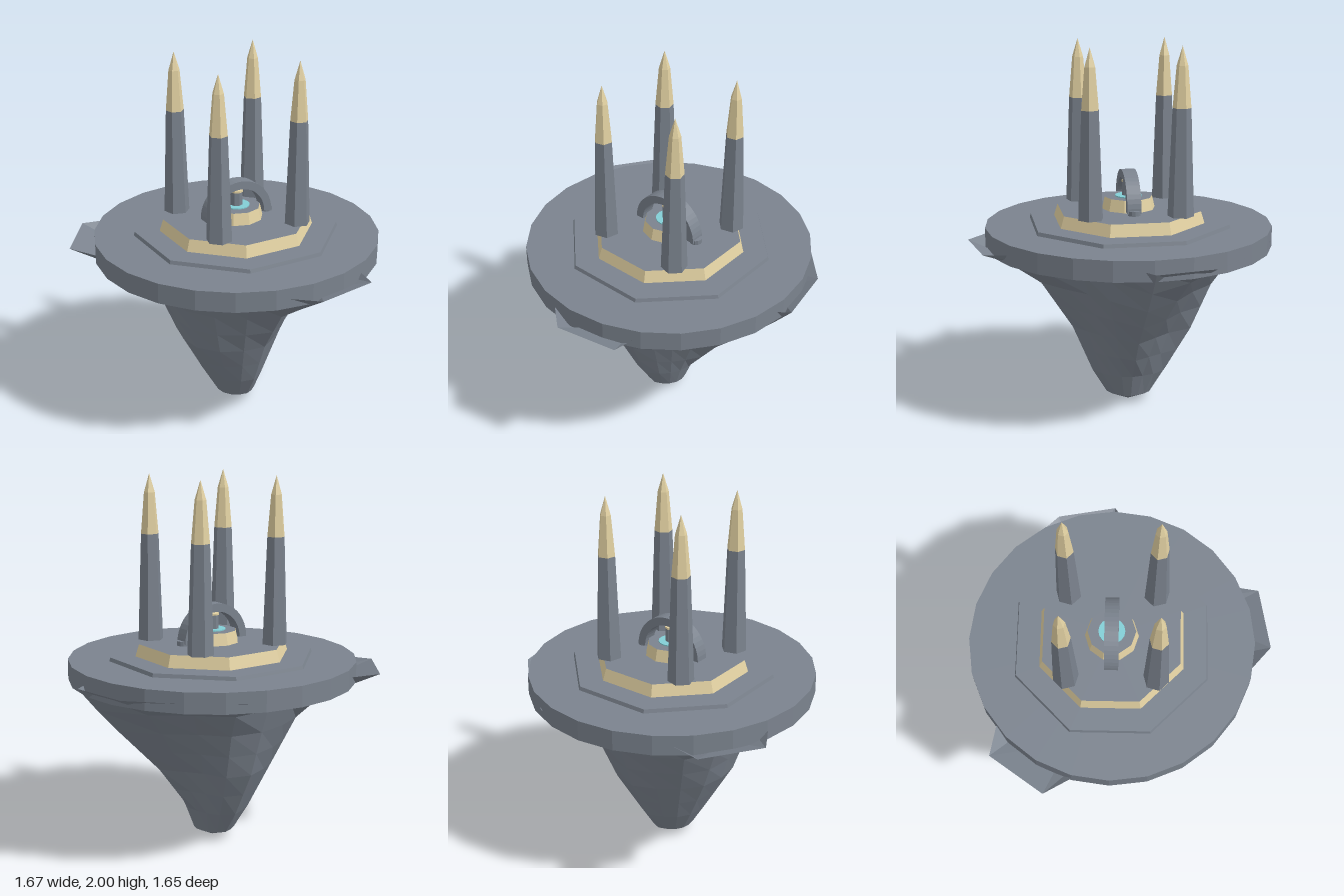
import * as THREE from 'three';

const slate = new THREE.MeshStandardMaterial({ color: 0x7b838e, side: THREE.DoubleSide });
slate.name = 'slate';
const gold = new THREE.MeshStandardMaterial({ color: 0xe2d1a2 });
gold.name = 'pale gold';
const teal = new THREE.MeshStandardMaterial({ color: 0x82ced6 });
teal.name = 'teal';

// Faceted normals without touching the material
function facet(geometry) {
  const g = geometry.index ? geometry.toNonIndexed() : geometry;
  g.computeVertexNormals();
  return g;
}

function add(parent, name, geometry, material) {
  const mesh = new THREE.Mesh(facet(geometry), material);
  mesh.name = name;
  parent.add(mesh);
  return mesh;
}

// Tapered prism standing between two heights
function prism(parent, name, rTop, rBottom, y0, y1, sides, material, turn = 0) {
  const g = new THREE.CylinderGeometry(rTop, rBottom, y1 - y0, sides);
  g.rotateY(turn);
  g.translate(0, (y0 + y1) / 2, 0);
  return add(parent, name, g, material);
}

// Craggy open-topped rock: 16 columns from +x towards +z, with three ridges that flare at the rim
function rockGeometry() {
  const rim = [.83, .58, .56, .875, .87, .695, .66, .64, .64, .91, .905, .615, .64, .78, .775, .834];
  const shoulder = [.72, .47, .42, .54, .67, .53, .50, .50, .49, .57, .60, .49, .50, .55, .52, .60];
  const waist = [.60, .42, .36, .39, .48, .45, .44, .44, .42, .45, .46, .44, .45, .46, .42, .48];
  const belly = [.345, .27, .25, .26, .31, .32, .34, .35, .34, .34, .33, .33, .36, .35, .27, .28];
  const foot = [.15, .15, .155, .17, .20, .20, .20, .20, .195, .20, .20, .20, .22, .20, .17, .15];
  const between = (a, b) => a.map((r, i) => (r + b[i]) / 2);
  const rings = [rim, shoulder, waist, between(waist, belly), belly, between(belly, foot), foot,
    foot.map((r) => .04 + .41 * r)];
  const n = rim.length, points = [], index = [];
  rings.forEach((ring, row) => ring.forEach((r, i) => {
    const a = (i / n) * Math.PI * 2;
    points.push(r * Math.cos(a), .96 - row * .13, r * Math.sin(a));
  }));
  const tip = rings.length * n, last = tip - n;
  points.push(0, 0, 0);
  for (let i = 0; i < n; i++) {
    const k = (i + 1) % n;
    for (let start = 0; start < last; start += n) {
      const a = start + i, b = start + k;
      index.push(a, b, a + n, b, b + n, a + n);
    }
    index.push(tip, last + i, last + k);
  }
  const g = new THREE.BufferGeometry();
  g.setAttribute('position', new THREE.Float32BufferAttribute(points, 3));
  g.setIndex(index);
  return g;
}

// Flat-banded half ring standing on its two ends
function archGeometry(outer, inner, depth) {
  const shape = new THREE.Shape();
  shape.absarc(0, 0, outer, 0, Math.PI, false);
  shape.absarc(0, 0, inner, Math.PI, 0, true);
  shape.closePath();
  const g = new THREE.ExtrudeGeometry(shape, { depth, bevelEnabled: false, curveSegments: 12 });
  g.translate(0, 0, -depth / 2);
  return g;
}

export function createModel() {
  const model = new THREE.Group();
  model.name = 'floatingShrine';
  const island = new THREE.Group();
  island.name = 'island';
  island.position.z = -.05;
  model.add(island);

  // Rock and stacked platforms
  add(island, 'rock', rockGeometry(), slate);
  prism(island, 'platform', .778, .778, .91, 1.02, 24, slate);
  prism(island, 'step', .555, .561, 1.02, 1.04, 8, slate, Math.PI / 8);
  prism(island, 'dais', .4, .42, 1.04, 1.105, 8, [gold, slate, slate], Math.PI / 8);

  // Central pedestal with glowing pool
  prism(island, 'pedestal', .13, .145, 1.105, 1.17, 10, [gold, slate, slate]);
  prism(island, 'pool', .072, .072, 1.17, 1.176, 16, teal);
  prism(island, 'column', .035, .035, 1.17, 1.25, 8, slate);
  prism(island, 'columnCap', .038, .038, 1.25, 1.26, 8, gold);

  // Arch over the pool, with a round foot at one end
  add(island, 'arch', archGeometry(.2, .155, .075), slate).position.y = 1.115;
  prism(island, 'archFoot', .034, .034, 1.105, 1.13, 12, slate).position.x = .188;

  // Four gold-tipped spires
  for (const x of [-.24, .24]) {
    for (const z of [-.24, .24]) {
      const spire = new THREE.Group();
      spire.name = 'spire';
      spire.position.set(x, 0, z);
      spire.rotation.y = x * z > 0 ? Math.PI / 12 : Math.PI / 4;
      prism(spire, 'spireShaft', .049, .07, 1.105, 1.68, 6, slate);
      prism(spire, 'spireCollar', .03, .049, 1.68, 1.9, 6, gold);
      add(spire, 'spireTip', new THREE.ConeGeometry(.03, .1, 6), gold).position.y = 1.95;
      island.add(spire);
    }
  }
  return model;
}
